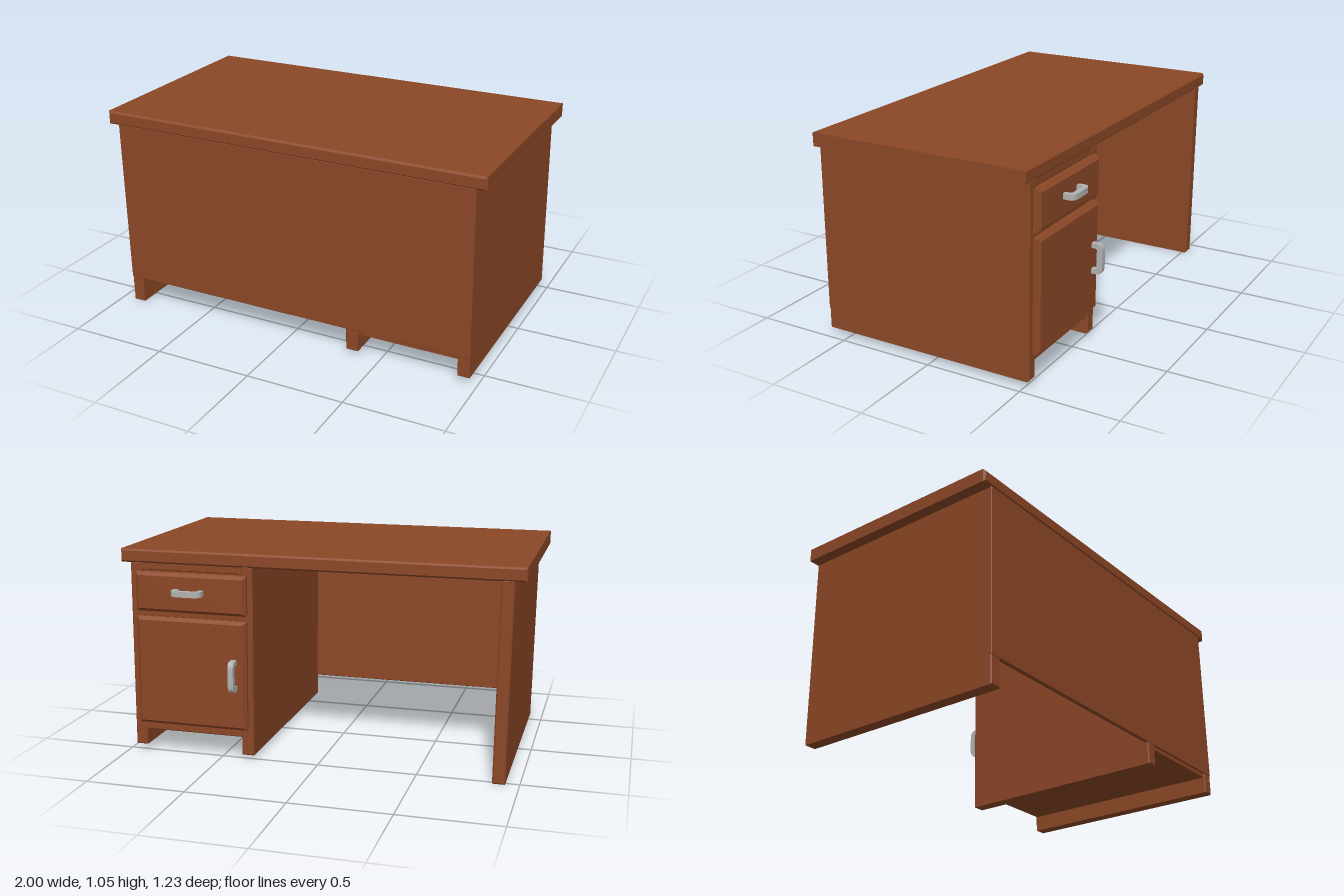
import * as THREE from 'three';

const wood = new THREE.MeshStandardMaterial({ color: 0x8b4726 });
wood.name = 'brown wood';
const metal = new THREE.MeshStandardMaterial({ color: 0xb2b2b2 });
metal.name = 'grey metal';

// Box between two corners with chamfered edges; lean shifts x with height
function slab(name, [x0, x1], [y0, y1], [z0, z1], bevel, lean = 0) {
  const s = new THREE.Shape();
  s.moveTo(x0 + bevel, y0 + bevel);
  s.lineTo(x1 - bevel, y0 + bevel);
  s.lineTo(x1 - bevel, y1 - bevel);
  s.lineTo(x0 + bevel, y1 - bevel);
  s.closePath();
  const g = new THREE.ExtrudeGeometry(s, {
    depth: z1 - z0 - 2 * bevel, bevelEnabled: true,
    bevelThickness: bevel, bevelSize: bevel, bevelSegments: 1,
  });
  g.translate(0, 0, z0 + bevel);
  const p = g.attributes.position;
  for (let i = 0; i < p.count; i++) p.setX(i, p.getX(i) - lean * p.getY(i));
  g.computeVertexNormals();
  const mesh = new THREE.Mesh(g, wood);
  mesh.name = name;
  return mesh;
}

// Arched pull: feet on the local y = 0 plane, length along x
function handle(name) {
  const s = new THREE.Shape();
  s.moveTo(-0.078, 0);
  s.lineTo(-0.078, 0.036);
  s.quadraticCurveTo(-0.075, 0.055, -0.05, 0.059);
  s.quadraticCurveTo(0, 0.063, 0.05, 0.059);
  s.quadraticCurveTo(0.075, 0.055, 0.078, 0.036);
  s.lineTo(0.078, 0);
  s.lineTo(0.053, 0);
  s.lineTo(0.053, 0.022);
  s.quadraticCurveTo(0.051, 0.033, 0.04, 0.034);
  s.lineTo(-0.04, 0.034);
  s.quadraticCurveTo(-0.051, 0.033, -0.053, 0.022);
  s.lineTo(-0.053, 0);
  s.closePath();
  const g = new THREE.ExtrudeGeometry(s, { depth: 0.028, bevelEnabled: false, curveSegments: 5 });
  g.translate(0, 0, -0.014);
  g.rotateX(-Math.PI / 2);
  const mesh = new THREE.Mesh(g, metal);
  mesh.name = name;
  return mesh;
}

export function createModel() {
  const desk = new THREE.Group();
  desk.name = 'desk';
  const lean = 0.012;
  const depth = [-0.525, 0.609];

  // Top and upright panels
  desk.add(
    slab('desktop', [-1, 1], [0.98, 1.047], [-0.53, 0.615], 0.009),
    slab('rightSidePanel', [-0.932, -0.87], [0, 0.985], depth, 0.006, lean),
    slab('middlePanel', [0.325, 0.388], [0.025, 0.985], depth, 0.006, lean),
    slab('leftSidePanel', [0.902, 0.963], [0.033, 0.985], depth, 0.006, lean),
    slab('frontPanel', [-0.932, 0.963], [0.138, 0.985], [0.588, 0.611], 0.003, lean),
  );

  // Cabinet carcass and the rails of its face
  desk.add(slab('cabinetBody', [0.38, 0.908], [0.117, 0.985], [-0.505, 0.6], 0.002, lean));
  for (const [name, y0, y1] of [
    ['topRail', 0.945, 0.985], ['middleRail', 0.712, 0.75], ['bottomRail', 0.117, 0.165],
  ]) desk.add(slab(name, [0.38, 0.908], [y0, y1], [-0.521, -0.48], 0.004, lean));

  // Raised drawer and door fronts
  desk.add(
    slab('drawerFront', [0.352, 0.928], [0.742, 0.94], [-0.556, -0.5], 0.016, lean),
    slab('doorFront', [0.352, 0.928], [0.16, 0.715], [-0.556, -0.5], 0.016, lean),
  );

  // Metal pulls
  const drawerHandle = handle('drawerHandle');
  drawerHandle.position.set(0.633, 0.85, -0.554);
  const doorHandle = handle('doorHandle');
  doorHandle.rotation.z = Math.PI / 2;
  doorHandle.position.set(0.406, 0.447, -0.554);
  desk.add(drawerHandle, doorHandle);

  return desk;
}
